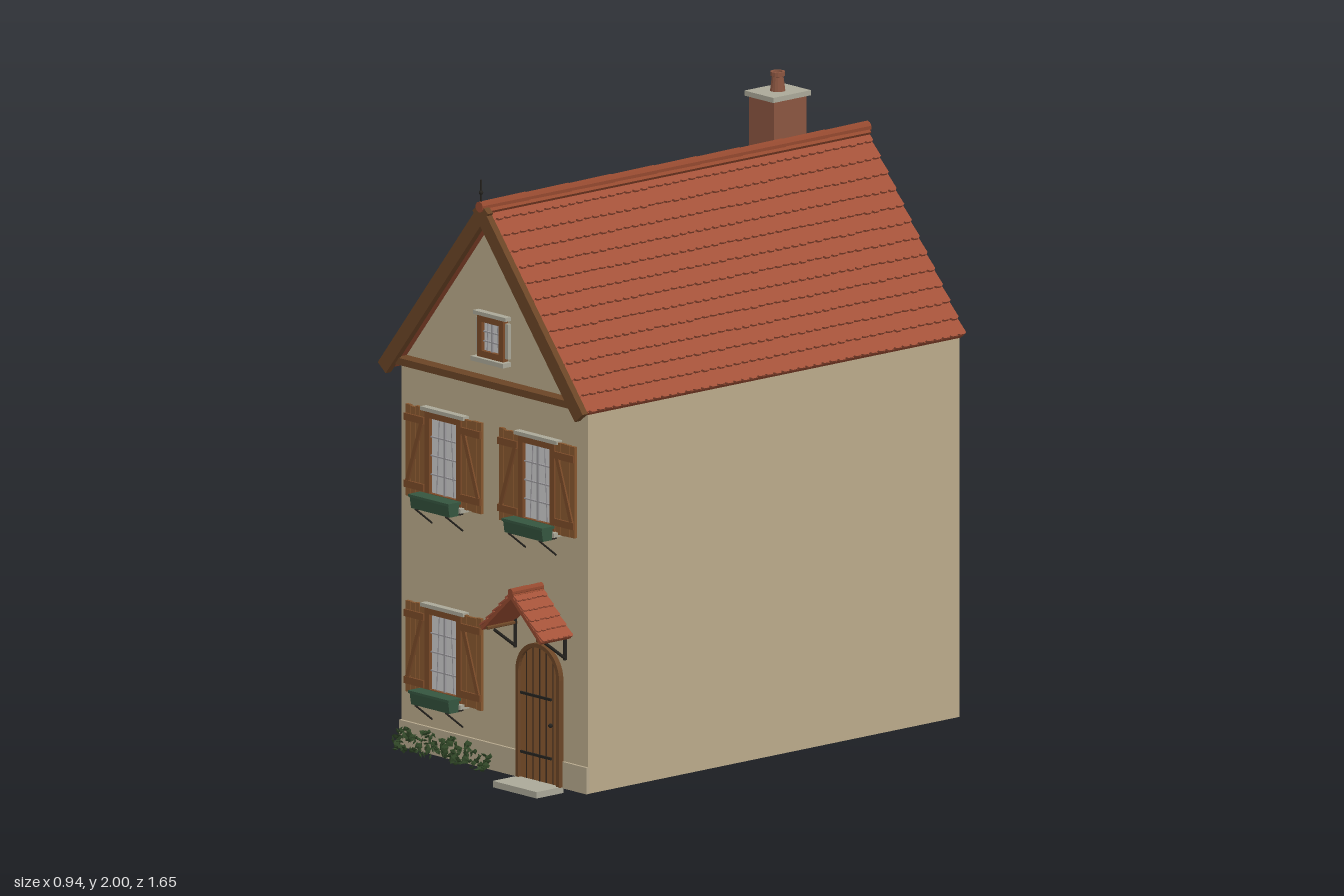
import * as THREE from 'three';
import { mergeGeometries } from 'three/addons/utils/BufferGeometryUtils.js';

const mat = (color) => new THREE.MeshStandardMaterial({ color, roughness: 0.9, flatShading: true });
const M = {
  wall: mat(0xbaaa8a), plinth: mat(0xb5a78c), tile: mat(0xa35239), ridge: mat(0x94492f), brick: mat(0x8a5540),
  wood: mat(0x87572f), frame: mat(0x7a4a28), barge: mat(0x6b4526), dark: mat(0x3a2a1e), iron: mat(0x25231f),
  stone: mat(0xaaa898), curtain: mat(0xd4d2d6), fold: mat(0x9c9a9e), green: mat(0x35553f), leaf: mat(0x2f4526),
  inner: mat(0x9a7a66), floor: mat(0x54463c),
};

let seed = 7;
const rand = () => (seed = (seed * 16807) % 2147483647) / 2147483647;

function add(parent, name, geo, material, x = 0, y = 0, z = 0) {
  const m = new THREE.Mesh(geo, material);
  m.name = name;
  m.position.set(x, y, z);
  parent.add(m);
  return m;
}
const box = (parent, name, material, w, h, d, x, y, z) =>
  add(parent, name, new THREE.BoxGeometry(w, h, d), material, x, y, z);
const extrude = (shape, depth) => new THREE.ExtrudeGeometry(shape, { depth, bevelEnabled: false, curveSegments: 10 });
function group(parent, name, x = 0, y = 0, z = 0) {
  const g = new THREE.Group();
  g.name = name;
  g.position.set(x, y, z);
  parent.add(g);
  return g;
}
// Round bar between two points
function bar(parent, name, a, b, r, material) {
  const p = new THREE.Vector3(...a), q = new THREE.Vector3(...b);
  const m = add(parent, name, new THREE.CylinderGeometry(r, r, p.distanceTo(q), 6), material);
  m.position.copy(p).lerp(q, 0.5);
  m.quaternion.setFromUnitVectors(new THREE.Vector3(0, 1, 0), q.sub(p).normalize());
}

// One course of tiles with a scalloped lower edge
function tileCourse(length, height, count, thick, sag) {
  const s = new THREE.Shape(), w = length / count;
  s.moveTo(-length / 2, height);
  for (let i = 0; i < count; i++) {
    const x = -length / 2 + i * w, d = sag * (0.5 + 0.6 * rand());
    s.lineTo(x, 0);
    s.lineTo(x + w * 0.25, -d);
    s.lineTo(x + w * 0.75, -d);
  }
  s.lineTo(length / 2, 0);
  s.lineTo(length / 2, height);
  return extrude(s, thick);
}

// Gabled tiled roof: apex at the group origin, centred along z
function tiledRoof(parent, name, o) {
  const roof = group(parent, name, o.x, o.y, o.z);
  const len = Math.hypot(o.half, o.rise), t = o.thick, h = len / o.rows;
  for (const side of [1, -1]) {
    const turn = group(roof, side > 0 ? 'leftSlope' : 'rightSlope');
    turn.rotation.y = side > 0 ? 0 : Math.PI;
    // Local x runs along the ridge, y up the slope, z outwards
    const slope = group(turn, 'slopePlane', o.half, -o.rise, 0);
    const up = new THREE.Vector3(-o.half / len, o.rise / len, 0);
    const out = new THREE.Vector3(o.rise / len, o.half / len, 0);
    slope.quaternion.setFromRotationMatrix(new THREE.Matrix4().makeBasis(new THREE.Vector3(0, 0, -1), up, out));
    box(slope, 'roofDeck', M.ridge, o.length, len, t * 2.2, 0, len / 2, -t * 3.1);
    for (let i = 0; i < o.rows; i++) {
      const high = i === o.rows - 1 ? h : h * 1.15;
      add(slope, 'tileCourse', tileCourse(o.length, high, o.count, t, o.sag), M.tile, 0, i * h, -t)
        .rotation.x = -Math.atan(t * 1.2 / high);
    }
    if (o.barge) box(slope, 'bargeBoard', M.barge, 0.022, len + 0.012, o.barge, -side * (o.length / 2 - 0.008), len / 2 - 0.004, -o.barge / 2 + 0.002);
  }
  // Overlapping ridge tiles
  const n = o.ridgeCount, seg = o.length / n;
  for (let i = 0; i < n; i++) {
    const g = new THREE.CylinderGeometry(o.ridge * 0.9, o.ridge, seg * 1.08, 10).rotateX(Math.PI / 2);
    add(roof, 'ridgeTile', g, M.ridge, 0, -o.ridge * 0.5, -o.length / 2 + (i + 0.5) * seg);
  }
  return roof;
}

// Glazed panel with frame, curtain folds and glazing bars; origin at the centre
function windowUnit(parent, name, x, y, z, w, h, f, rows) {
  const g = group(parent, name, x, y, z);
  box(g, 'curtain', M.curtain, w - f, h - f, 0.008, 0, 0, 0.003);
  for (const s of [1, -1]) {
    box(g, 'frameSide', M.frame, f, h, 0.022, s * (w - f) / 2, 0, 0.009);
    box(g, 'frameRail', M.frame, w, f, 0.022, 0, s * (h - f) / 2, 0.009);
    box(g, 'curtainFold', M.fold, 0.003, h - 2 * f, 0.003, s * w * 0.2, 0, 0.008).rotation.z = s * 0.05;
  }
  box(g, 'mullion', M.fold, 0.007, h - 2 * f, 0.006, 0, 0, 0.011);
  for (let i = 1; i < rows; i++)
    box(g, 'glazingBar', M.fold, w - 2 * f, 0.004, 0.006, 0, -h / 2 + f + (h - 2 * f) * i / rows, 0.01);
  box(g, 'lintel', M.stone, w + 0.03, 0.012, 0.024, 0, h / 2 + 0.006, 0.012);
  box(g, 'sill', M.stone, w + 0.03, 0.014, 0.034, 0, -h / 2 - 0.007, 0.017);
  return g;
}

// Plank shutter with rails and a diagonal brace
function shutter(parent, x, side) {
  const g = group(parent, side > 0 ? 'leftShutter' : 'rightShutter', x, 0, 0.008);
  const w = 0.088, h = 0.285;
  for (let i = 0; i < 4; i++)
    box(g, 'plank', M.wood, w / 4 - 0.002, h + (rand() - 0.5) * 0.012, 0.01, (i - 1.5) * w / 4, 0, 0.004);
  box(g, 'backing', M.dark, w - 0.004, h - 0.014, 0.004, 0, 0, 0);
  for (const s of [1, -1]) box(g, 'rail', M.frame, w, 0.022, 0.008, 0, s * 0.105, 0.012);
  box(g, 'brace', M.frame, 0.014, 0.2, 0.007, 0, 0, 0.0115).rotation.z = side * 0.33;
}

function shutteredWindow(parent, x, y) {
  const g = windowUnit(parent, 'shutteredWindow', x, y, 0.7, 0.165, 0.275, 0.02, 4);
  for (const s of [1, -1]) {
    shutter(g, s * 0.129, s);
    bar(g, 'planterBracket', [s * 0.07, -0.16, 0.07], [s * 0.07, -0.215, 0], 0.003, M.iron);
    bar(g, 'planterArm', [s * 0.07, -0.162, 0.07], [s * 0.07, -0.162, 0], 0.003, M.iron);
  }
  // Flower box
  const s = new THREE.Shape([[0.034, -0.16], [0.07, -0.16], [0.077, -0.118], [0.03, -0.118]].map(p => new THREE.Vector2(-p[0], p[1])).reverse());
  const geo = extrude(s, 0.176).translate(0, 0, -0.088).rotateY(Math.PI / 2);
  add(g, 'flowerBox', geo, M.green);
  box(g, 'flowerBoxRim', M.green, 0.186, 0.008, 0.05, 0, -0.12, 0.053);
}

function archShape(r, bottom, spring) {
  const s = new THREE.Shape();
  s.moveTo(-r, bottom);
  s.lineTo(r, bottom);
  s.lineTo(r, spring);
  s.absarc(0, spring, r, 0, Math.PI, false);
  s.lineTo(-r, bottom);
  return s;
}

export function createModel() {
  const house = new THREE.Group();
  house.name = 'townHouse';

  // Hollow shell, open at the bottom
  const gable = new THREE.Shape([[-0.426, 0.017], [0.426, 0.017], [0.426, 1.222], [0, 1.752], [-0.426, 1.222]].map(p => new THREE.Vector2(...p)));
  add(house, 'frontWall', extrude(gable, 0.04), M.wall, 0, 0, 0.66);
  add(house, 'backWall', extrude(gable, 0.04), M.wall, 0, 0, -0.82);
  for (const s of [1, -1]) box(house, 'sideWall', M.wall, 0.04, 1.205, 1.46, s * 0.406, 0.6195, -0.07);
  box(house, 'partition', M.inner, 0.772, 1.2, 0.012, 0, 0.62, 0.42);
  box(house, 'hallFloor', M.floor, 0.772, 0.01, 0.24, 0, 0.03, 0.545);
  for (const [a, b] of [[-0.428, 0.108], [0.318, 0.428]])
    box(house, 'plinth', M.plinth, b - a, 0.083, 0.012, (a + b) / 2, 0.0585, 0.703);
  box(house, 'gableBeam', M.barge, 0.81, 0.022, 0.045, 0, 1.235, 0.7225);

  // Main roof and finial
  tiledRoof(house, 'mainRoof', { x: 0, y: 1.8, z: -0.03, half: 0.46, rise: 0.572, length: 1.575, rows: 13, count: 48, thick: 0.008, sag: 0.007, ridge: 0.019, ridgeCount: 9, barge: 0.046 });
  bar(house, 'finial', [0, 1.77, 0.757], [0, 1.875, 0.757], 0.003, M.iron);
  add(house, 'finialKnob', new THREE.SphereGeometry(0.007, 8, 6), M.iron, 0, 1.835, 0.757);

  // Chimney
  const chimney = group(house, 'chimney', -0.07, 0, -0.52);
  box(chimney, 'stack', M.brick, 0.115, 0.3, 0.132, 0, 1.775, 0);
  box(chimney, 'cap', M.stone, 0.132, 0.016, 0.154, 0, 1.932, 0);
  const pot = [[0, 1.938], [0.024, 1.938], [0.018, 1.985], [0.023, 1.987], [0.023, 2], [0.015, 2], [0.014, 1.95], [0, 1.95]];
  add(chimney, 'pot', new THREE.LatheGeometry(pot.map(p => new THREE.Vector2(...p)), 14), M.brick);

  // Windows
  shutteredWindow(house, -0.217, 0.955);
  shutteredWindow(house, 0.21, 0.955);
  shutteredWindow(house, -0.217, 0.34);
  windowUnit(house, 'atticWindow', 0, 1.372, 0.7, 0.118, 0.13, 0.02, 3);
  for (const s of [1, -1]) box(house, 'atticSurround', M.stone, 0.014, 0.11, 0.012, s * 0.066, 1.372, 0.706);

  // Arched plank door
  const door = group(house, 'door', 0.213, 0, 0.7);
  const surround = archShape(0.1, 0.018, 0.353);
  surround.holes.push(archShape(0.087, 0.018, 0.353));
  add(door, 'doorFrame', extrude(surround, 0.018), M.barge);
  add(door, 'doorLeaf', extrude(archShape(0.088, 0.018, 0.353), 0.007), M.wood);
  for (let i = -2; i <= 2; i++) {
    const x = i * 0.03, top = 0.353 + Math.sqrt(0.087 ** 2 - x * x);
    box(door, 'plankGap', M.dark, 0.004, top - 0.02, 0.003, x, (top + 0.02) / 2, 0.0065);
  }
  for (const y of [0.1, 0.285]) box(door, 'strapHinge', M.iron, 0.14, 0.008, 0.005, -0.015, y, 0.01);
  add(door, 'knob', new THREE.SphereGeometry(0.007, 8, 6), M.iron, 0.056, 0.205, 0.014);
  box(house, 'doorstep', M.stone, 0.2, 0.02, 0.11, 0.213, 0.01, 0.755);

  // Door canopy on iron brackets
  tiledRoof(house, 'doorCanopy', { x: 0.212, y: 0.637, z: 0.7625, half: 0.146, rise: 0.132, length: 0.125, rows: 5, count: 6, thick: 0.005, sag: 0.005, ridge: 0.013, ridgeCount: 2 });
  for (const s of [1, -1]) {
    const x = 0.212 + s * 0.114;
    bar(house, 'canopyBrace', [x, 0.488, 0.79], [x, 0.425, 0.705], 0.005, M.iron);
    bar(house, 'canopyPost', [x, 0.51, 0.705], [x, 0.42, 0.705], 0.006, M.iron);
    bar(house, 'canopyArm', [x, 0.498, 0.7], [x, 0.498, 0.82], 0.006, M.barge);
  }

  // Creeping plants along the foot of the wall
  const leaves = [];
  for (let i = 0; i < 190; i++) {
    const t = rand(), height = 0.045 + 0.035 * Math.abs(Math.sin(t * 14));
    const r = 0.008 + 0.005 * rand();
    leaves.push(new THREE.OctahedronGeometry(r).scale(1, 1, 0.35).rotateX(rand() * 2 - 1).rotateY(rand() * 3).rotateZ(rand() * 3)
      .translate(-0.42 + 0.43 * t, 0.014 + rand() * height, 0.712 + 0.033 * rand()));
  }
  add(house, 'creepingPlants', mergeGeometries(leaves), M.leaf);

  return house;
}
